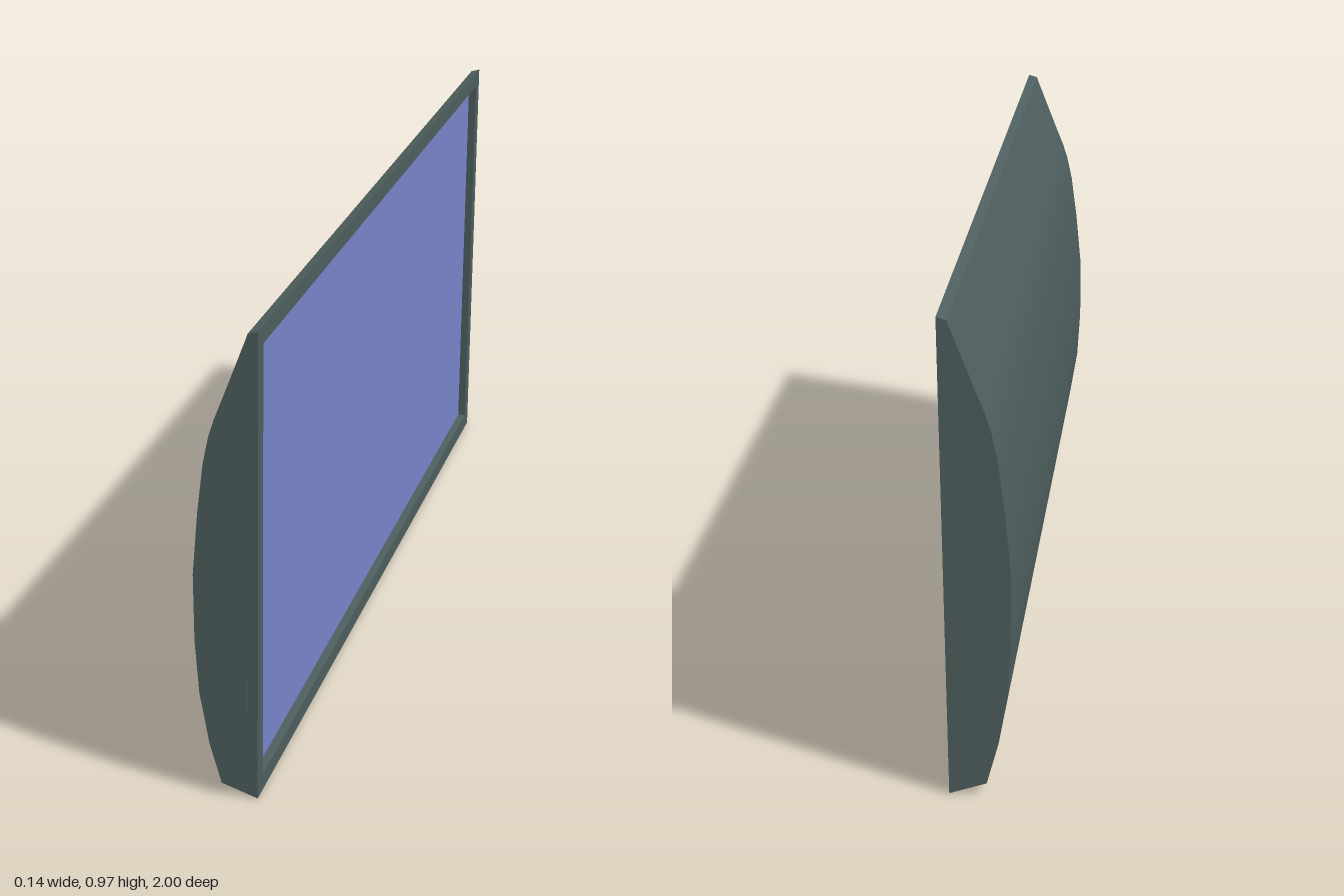
import * as THREE from 'three';
import { toCreasedNormals } from 'three/addons/utils/BufferGeometryUtils.js';

const HEIGHT = 0.972, HALF = 1, RIM = 0.035, DEPTH = 0.02;

// x of the slightly leaning front plane at height y
const frontX = (y) => 0.052 + 0.0155 * (y / HEIGHT);

// Add the lean of the front plane to a geometry whose x is an offset from it
function lean(geometry) {
  const p = geometry.attributes.position;
  for (let i = 0; i < p.count; i++) p.setX(i, p.getX(i) + frontX(p.getY(i)));
  geometry.computeVertexNormals();
  return geometry;
}

function rectangle(PathType, halfWidth, bottom, top) {
  return new PathType([
    [-halfWidth, bottom], [halfWidth, bottom], [halfWidth, top], [-halfWidth, top],
  ].map(([x, y]) => new THREE.Vector2(x, y)));
}

// Bulged housing: side profile swept along z
function housing(material) {
  const profile = [
    [0.032, 0.007], [-0.021, 0.025], [-0.044, 0.11], [-0.062, 0.218], [-0.069, 0.33],
    [-0.069, 0.47], [-0.057, 0.6], [-0.044, 0.7], [-0.032, 0.756], [-0.021, 0.79],
    [-0.003, 0.835], [0.043, 0.953], [0.0475, 0.966],
  ].map(([x, y]) => new THREE.Vector2(x, y));
  const geometry = new THREE.ExtrudeGeometry(new THREE.Shape(profile), {
    depth: 2 * HALF, bevelEnabled: false,
  });
  geometry.translate(0, 0, -HALF);
  const mesh = new THREE.Mesh(toCreasedNormals(geometry, 0.4), material);
  mesh.name = 'housing';
  return mesh;
}

// Raised rim around the screen
function rim(material) {
  const shape = rectangle(THREE.Shape, HALF, 0, HEIGHT);
  shape.holes.push(rectangle(THREE.Path, HALF - RIM, RIM, HEIGHT - RIM));
  const geometry = new THREE.ExtrudeGeometry(shape, { depth: DEPTH, bevelEnabled: false });
  geometry.rotateY(Math.PI / 2).translate(-DEPTH, 0, 0);
  // Slope the outer top and bottom to meet the housing
  const p = geometry.attributes.position;
  for (let i = 0; i < p.count; i++) {
    if (p.getX(i) > -DEPTH / 2) continue;
    if (p.getY(i) < 0.001) p.setY(i, 0.007);
    if (p.getY(i) > HEIGHT - 0.001) p.setY(i, 0.966);
  }
  const mesh = new THREE.Mesh(lean(geometry), material);
  mesh.name = 'rim';
  return mesh;
}

// Flat screen set back inside the rim
function screen(material) {
  const geometry = new THREE.PlaneGeometry(2 * (HALF - RIM), HEIGHT - 2 * RIM);
  geometry.rotateY(Math.PI / 2).translate(0.002 - DEPTH, HEIGHT / 2, 0);
  const mesh = new THREE.Mesh(lean(geometry), material);
  mesh.name = 'screen';
  return mesh;
}

export function createModel() {
  const casing = new THREE.MeshStandardMaterial({ color: 0x4f5f5f });
  const glass = new THREE.MeshStandardMaterial({ color: 0x7986cb });
  const model = new THREE.Group();
  model.name = 'flatDisplay';
  model.add(housing(casing), rim(casing), screen(glass));
  return model;
}
